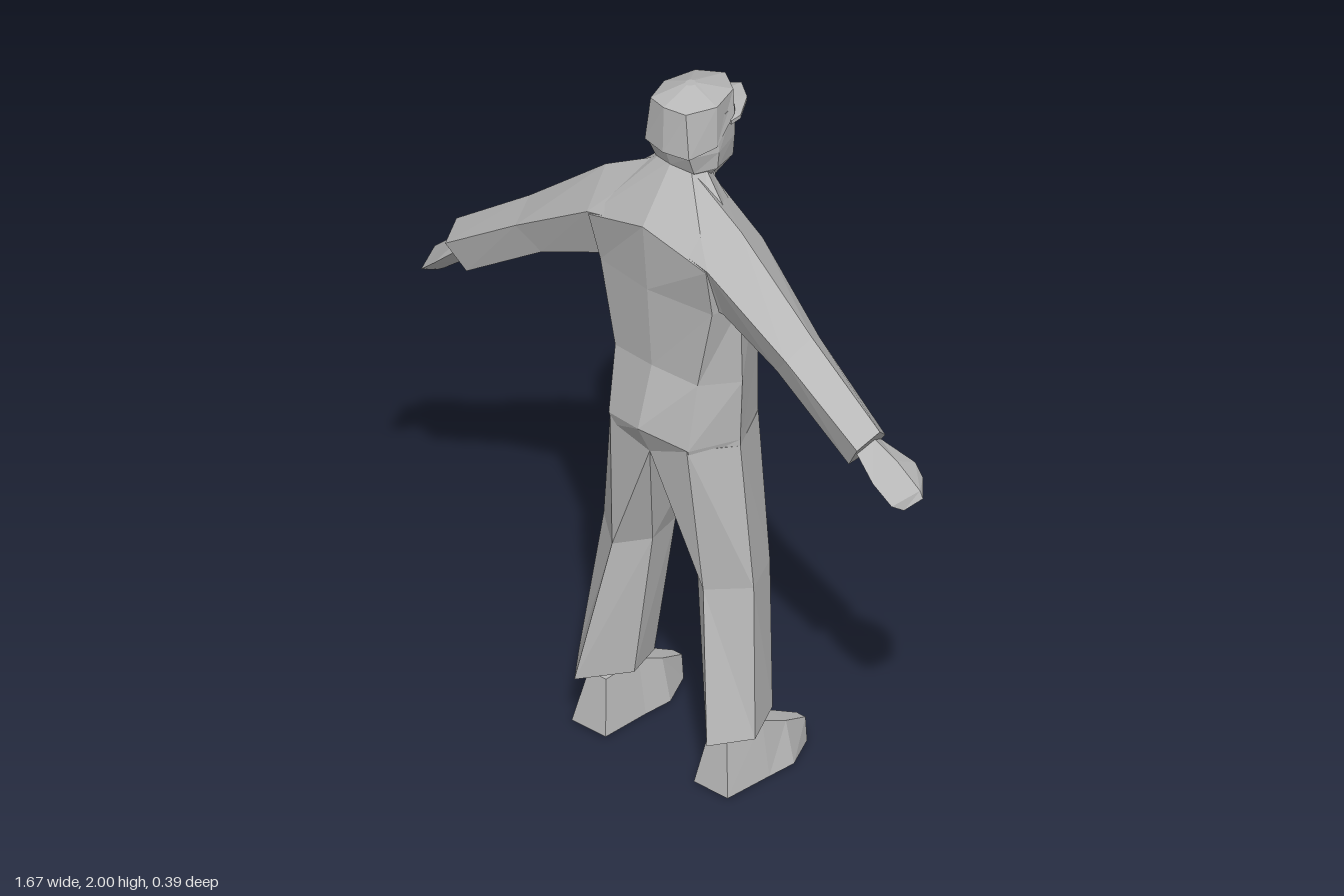
import * as THREE from 'three';

const grey = new THREE.MeshStandardMaterial({ color: 0xb8b8b8 });
grey.name = 'plain grey';
grey.flatShading = true;

// Closed faceted body through rings of [x, y, z] points, capped at both ends
function loft(name, rings, flip = 1) {
  const pos = [];
  const tri = (a, b, c) => pos.push(...a, ...b, ...c);
  const n = rings[0].length;
  const middle = (r) => [0, 1, 2].map((k) => r.reduce((s, p) => s + p[k], 0) / n);
  for (let i = 0; i < n; i++) {
    const j = (i + 1) % n;
    for (let r = 0; r < rings.length - 1; r++) {
      const a = rings[r], b = rings[r + 1];
      tri(a[i], a[j], b[j]);
      tri(a[i], b[j], b[i]);
    }
    const first = rings[0], last = rings[rings.length - 1];
    tri(middle(first), first[j], first[i]);
    tri(middle(last), last[i], last[j]);
  }
  for (let i = 0; i < pos.length; i += 3) pos[i] *= flip;
  // Turn the faces outward if the signed volume is negative
  let volume = 0;
  const a = new THREE.Vector3(), b = new THREE.Vector3(), c = new THREE.Vector3();
  for (let i = 0; i < pos.length; i += 9) {
    volume += a.fromArray(pos, i).dot(b.fromArray(pos, i + 3).cross(c.fromArray(pos, i + 6)));
  }
  if (volume < 0) {
    for (let i = 0; i < pos.length; i += 9) {
      for (let k = 0; k < 3; k++) {
        [pos[i + 3 + k], pos[i + 6 + k]] = [pos[i + 6 + k], pos[i + 3 + k]];
      }
    }
  }
  const g = new THREE.BufferGeometry();
  g.setAttribute('position', new THREE.Float32BufferAttribute(pos, 3));
  g.computeVertexNormals();
  const mesh = new THREE.Mesh(g, grey);
  mesh.name = name;
  return mesh;
}

// Completes a half ring whose first and last points lie on the centre line
const whole = (half) => [
  ...half,
  ...half.slice(1, -1).reverse().map(([x, y, z]) => [-x, y, z]),
];

export function createModel() {
  const model = new THREE.Group();
  model.name = 'figure';

  // Jacket: back centre, back corner, side, front corner, front centre
  model.add(loft('torso', [
    [[0, 0.95, 0.155], [0.13, 0.97, 0.15], [0.205, 0.98, 0.04], [0.13, 0.97, -0.11], [0, 0.94, -0.135]],
    [[0, 1.04, 0.2], [0.135, 1.01, 0.16], [0.205, 1.02, 0.04], [0.13, 1.02, -0.11], [0, 1.0, -0.148]],
    [[0, 1.21, 0.148], [0.14, 1.2, 0.13], [0.212, 1.2, 0.04], [0.14, 1.2, -0.1], [0, 1.19, -0.155]],
    [[0, 1.45, 0.165], [0.19, 1.44, 0.13], [0.215, 1.44, 0.05], [0.17, 1.44, -0.06], [0, 1.4, -0.138]],
    [[0, 1.65, 0.182], [0.2, 1.59, 0.165], [0.23, 1.63, 0.06], [0.18, 1.58, -0.04], [0, 1.59, -0.118]],
    [[0, 1.8, 0.07], [0.05, 1.79, 0.055], [0.07, 1.78, 0.02], [0.05, 1.75, -0.02], [0, 1.72, -0.05]],
  ].map(whole)));

  // Neck
  const neck = new THREE.Mesh(new THREE.CylinderGeometry(0.065, 0.07, 0.12, 8), grey);
  neck.name = 'neck';
  neck.position.set(0, 1.77, 0.01);
  model.add(neck);

  // Head, tapering to the chin at -z
  model.add(loft('head', [
    [[0, 1.75, 0.05], [0.04, 1.74, 0.035], [0.05, 1.73, 0], [0.035, 1.71, -0.055], [0, 1.71, -0.07]],
    [[0, 1.79, 0.078], [0.065, 1.78, 0.06], [0.092, 1.78, 0], [0.055, 1.755, -0.1], [0, 1.755, -0.132]],
    [[0, 1.85, 0.1], [0.07, 1.84, 0.085], [0.097, 1.83, 0], [0.07, 1.83, -0.09], [0, 1.83, -0.14]],
    [[0, 1.92, 0.1], [0.06, 1.92, 0.085], [0.09, 1.92, 0], [0.07, 1.92, -0.09], [0, 1.92, -0.125]],
  ].map(whole)));

  // Cap crown with a shallow peak on top
  model.add(loft('capCrown', [
    [[0, 1.84, 0.106], [0.075, 1.84, 0.09], [0.098, 1.85, 0.01], [0.078, 1.9, -0.08], [0, 1.92, -0.125]],
    [[0, 1.975, 0.102], [0.06, 1.97, 0.085], [0.09, 1.965, 0], [0.065, 1.965, -0.09], [0, 1.965, -0.132]],
    [[0, 2, 0.015], [0.01, 2, 0.01], [0.014, 2, 0], [0.01, 2, -0.01], [0, 2, -0.015]],
  ].map(whole)));

  // Arched cap brim
  const slices = [-0.085, -0.05, 0, 0.05, 0.085];
  model.add(loft('capBrim', slices.map((x) => {
    const k = 1 - (x / 0.085) ** 2;
    const y = 1.885 + 0.035 * k;
    return [
      [x, y + 0.006, -0.06], [x, y - 0.022 * k + 0.006, -0.095 - 0.098 * k],
      [x, y - 0.022 * k - 0.004, -0.095 - 0.098 * k], [x, y - 0.006, -0.06],
    ];
  })));

  for (const side of [1, -1]) {
    const name = side > 0 ? 'left' : 'right';

    // Sleeve: top, back, lower back, lower front, front
    model.add(loft(name + 'Arm', [
      [[0.03, 1.79, 0.05], [0.03, 1.64, 0.17], [0.1, 1.46, 0.12], [0.1, 1.46, -0.04], [0.04, 1.7, -0.05]],
      [[0.23, 1.68, 0.065], [0.205, 1.595, 0.165], [0.21, 1.44, 0.11], [0.21, 1.44, 0.01], [0.21, 1.6, -0.04]],
      [[0.48, 1.475, 0.075], [0.46, 1.43, 0.152], [0.4, 1.36, 0.12], [0.4, 1.36, 0.04], [0.45, 1.43, 0.012]],
      [[0.72, 1.3, 0.085], [0.70, 1.265, 0.15], [0.65, 1.19, 0.125], [0.65, 1.19, 0.045], [0.69, 1.25, 0.03]],
    ], side));

    // Mitten-like hand, widest at the knuckles
    model.add(loft(name + 'Hand', [
      [[0.69, 1.27, 0.08], [0.68, 1.24, 0.13], [0.66, 1.2, 0.09], [0.68, 1.24, 0.04]],
      [[0.755, 1.215, 0.06], [0.745, 1.18, 0.14], [0.72, 1.16, 0.07], [0.76, 1.18, -0.005]],
      [[0.825, 1.15, 0.05], [0.8, 1.13, 0.13], [0.775, 1.115, 0.07], [0.79, 1.15, 0]],
      [[0.835, 1.13, 0.05], [0.815, 1.11, 0.1], [0.8, 1.098, 0.07], [0.815, 1.115, 0.035]],
    ], side));

    // Trouser leg: inner, back, side, front, inner front
    model.add(loft(name + 'Leg', [
      [[0, 0.95, 0.155], [0.13, 1.01, 0.16], [0.205, 1.0, 0.04], [0.13, 1.0, -0.112], [0, 0.95, -0.138]],
      [[0.075, 0.6, 0.06], [0.155, 0.58, 0.125], [0.255, 0.59, 0.045], [0.2, 0.59, -0.078], [0.095, 0.6, -0.05]],
      [[0.12, 0.18, 0.08], [0.225, 0.165, 0.19], [0.3, 0.17, 0.09], [0.25, 0.185, -0.032], [0.15, 0.18, -0.03]],
    ], side));

    // Shoe, lofted from heel to toe
    const across = (z, half, top, height) => [
      [0.21 - half, 0, z], [0.21 + half, 0, z], [0.21 + top, height, z - 0.005], [0.21 - top, height, z - 0.005],
    ];
    model.add(loft(name + 'Shoe', [
      [[0.15, 0.005, 0.155], [0.265, 0.005, 0.155], [0.235, 0.155, 0.125], [0.175, 0.155, 0.125]],
      across(0.005, 0.062, 0.033, 0.155),
      across(-0.08, 0.07, 0.038, 0.115),
      across(-0.18, 0.025, 0.015, 0.065),
    ], side));
  }
  return model;
}
